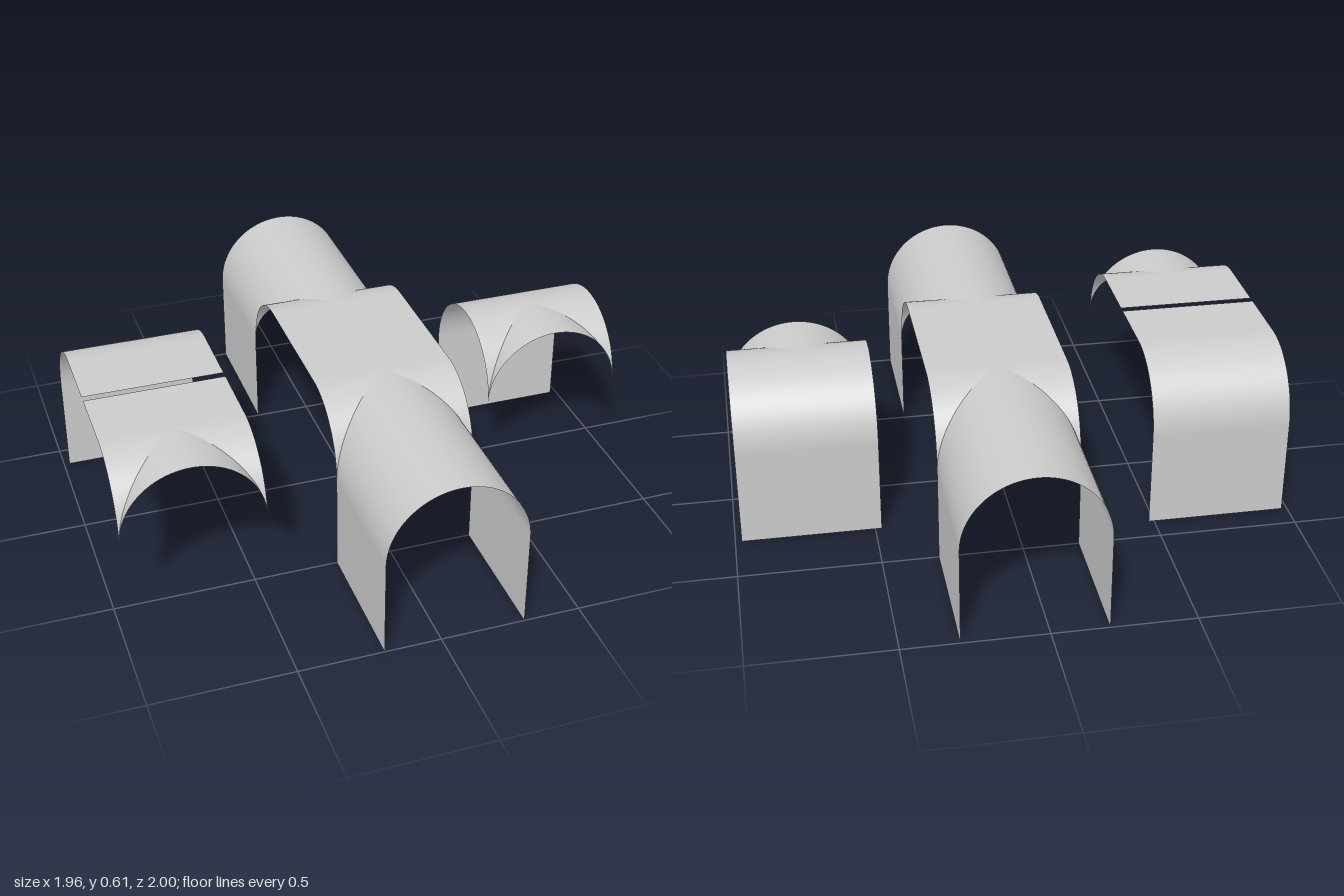
import * as THREE from 'three';

const R = 0.25;        // vault radius, half the bay width
const SPRING = 0.355;  // height where the curve starts
const N = 24;          // steps per quarter arc

const material = new THREE.MeshStandardMaterial({ color: 0xcccccc, side: THREE.DoubleSide });

// Ruled sheet: each row is { a, b, n } = two end points and their shared normal.
function sheet(name, rows) {
  const pos = [], nor = [], index = [];
  rows.forEach(({ a, b, n }, i) => {
    pos.push(...a, ...b);
    nor.push(...n, ...n);
    if (i) {
      const k = 2 * i - 2;
      index.push(k, k + 1, k + 2, k + 1, k + 3, k + 2);
    }
  });
  const g = new THREE.BufferGeometry();
  g.setAttribute('position', new THREE.Float32BufferAttribute(pos, 3));
  g.setAttribute('normal', new THREE.Float32BufferAttribute(nor, 3));
  g.setIndex(index);
  const mesh = new THREE.Mesh(g, material);
  mesh.name = name;
  return mesh;
}

// Arc points as [cos, sin], from the springing upward through the given angle.
function arc(angle, steps) {
  return Array.from({ length: steps + 1 }, (_, i) => {
    const t = (angle * i) / steps;
    return [Math.cos(t), Math.sin(t)];
  });
}

function group(name, ...children) {
  const g = new THREE.Group();
  g.name = name;
  g.add(...children);
  return g;
}

// Moves a part to its bay; back = true turns it to face -z.
function place(part, x, z, back = false) {
  part.position.set(x, SPRING, z);
  if (back) part.rotation.y = Math.PI;
  return part;
}

// Level crown strip running back from z = 0.
function crown(length) {
  const up = [0, 1, 0];
  return sheet('flatCrown', [0, -length].map(z => ({ a: [-R, R, z], b: [R, R, z], n: up })));
}

// Barrel vault on two walls, running along z from 0 to the given length.
function barrel(length) {
  const row = (x, y, n) => ({ a: [x, y, 0], b: [x, y, length], n });
  const rows = arc(Math.PI, 2 * N).map(([c, s]) => row(-R * c, R * s, [-c, s, 0]));
  return sheet('barrelVault', [
    row(-R, -SPRING, [-1, 0, 0]), ...rows, row(R, -SPRING, [1, 0, 0]),
  ]);
}

// Half bay whose crown curves down into a wall at z = R.
function wallEnd(flat) {
  const row = (z, y, n) => ({ a: [-R, y, z], b: [R, y, z], n });
  const rows = arc(Math.PI / 2, N).map(([c, s]) => row(R * c, R * s, [0, s, c]));
  const g = group('wallEnd', sheet('curvedWall', [row(R, -SPRING, [0, 0, 1]), ...rows]));
  if (flat) g.add(crown(flat));
  return g;
}

// Half groin bay: an arched front lobe and two side lobes meeting on the diagonals.
function groinEnd(flat) {
  const front = arc(Math.PI, 2 * N).map(([c, s]) => ({
    a: [-R * c, R * s, Math.abs(R * c)], b: [-R * c, R * s, R], n: [-c, s, 0],
  }));
  const side = sign => arc(Math.PI / 2, N).map(([c, s]) => {
    const inner = [sign * R * c, R * s, R * c], outer = [sign * R, R * s, R * c];
    return { a: sign > 0 ? inner : outer, b: sign > 0 ? outer : inner, n: [0, s, c] };
  });
  const g = group('groinEnd',
    sheet('frontLobe', front), sheet('leftLobe', side(1)), sheet('rightLobe', side(-1)));
  if (flat) g.add(crown(flat));
  return g;
}

export function createModel() {
  // Long central tunnel with an open crossing in the middle
  const tunnel = group('centralTunnel',
    place(barrel(0.5), 0.05, 0.5),
    place(barrel(0.5), 0.05, -0.5, true),
    place(groinEnd(R), 0.05, 0.25),
    place(groinEnd(R), 0.05, -0.25, true));

  // Separate end pieces on the model's right
  const rearEnd = group('rearWallPiece', place(wallEnd(R), -0.73, -0.155, true));
  const frontEnd = group('frontGroinPiece', place(groinEnd(R), -0.73, 0.37));

  // Single bay on the model's left: wall behind, groin opening in front
  const bay = group('singleBay',
    place(wallEnd(0), 0.727, -0.035, true),
    place(groinEnd(0), 0.727, -0.035));

  return group('vaultPieces', tunnel, rearEnd, frontEnd, bay);
}
